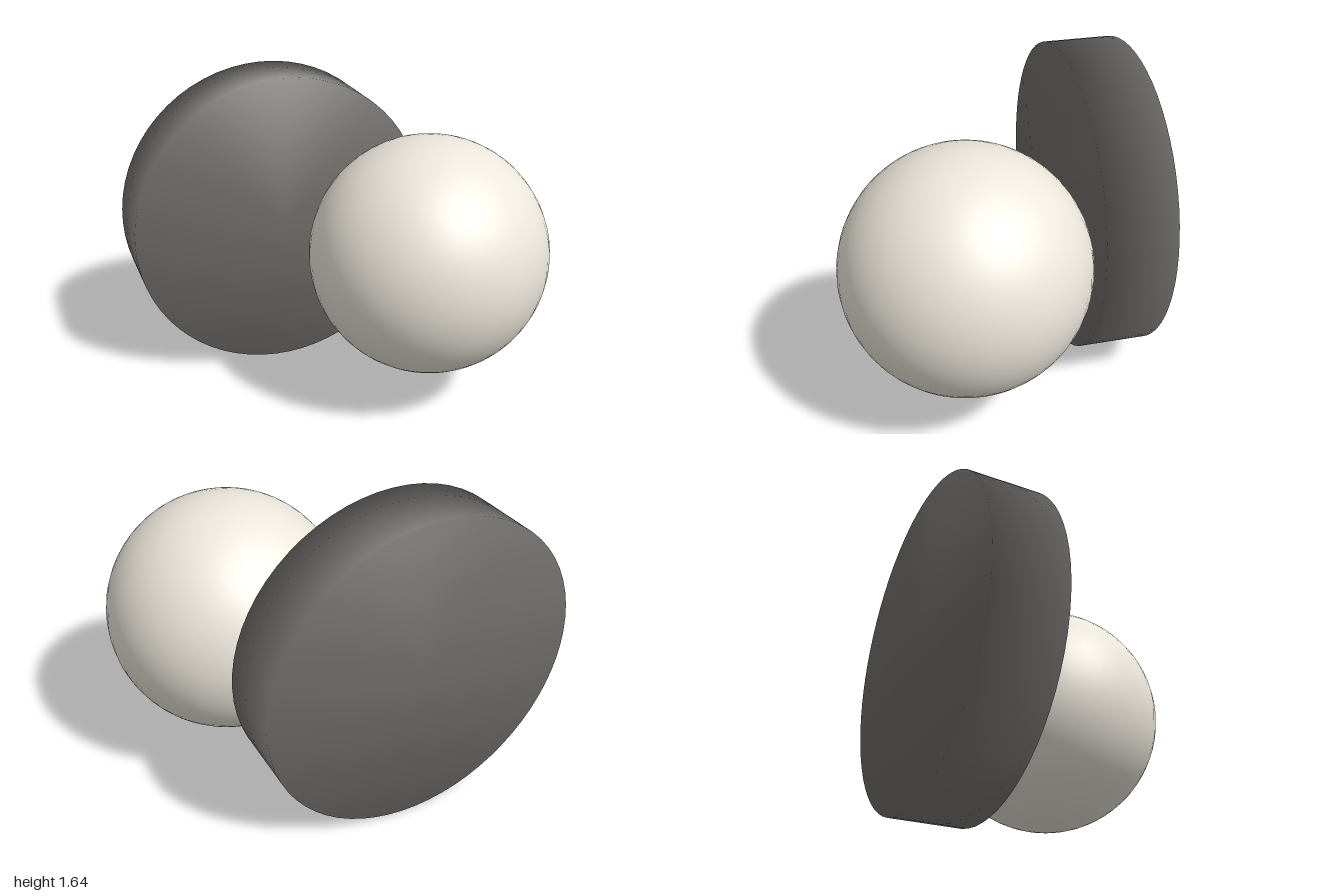
import * as THREE from 'three';

const mat = (color) => new THREE.MeshStandardMaterial({ color });

// Closed round drum lying along z, with normals blended over its rims
function drum(name, radius, z0, z1, x, y, color) {
  const profile = [[0, z0], [radius, z0], [radius, z1], [0, z1]]
    .map(([r, h]) => new THREE.Vector2(r, h));
  const geometry = new THREE.LatheGeometry(profile, 64);
  geometry.rotateX(Math.PI / 2);
  const mesh = new THREE.Mesh(geometry, mat(color));
  mesh.name = name;
  mesh.position.set(x, y, 0);
  return mesh;
}

export function createModel() {
  const lamp = new THREE.Group();
  lamp.name = 'wallLamp';

  // Thick dark disc against the wall
  lamp.add(drum('backDisc', 0.82, -0.795, -0.437, -0.18, 0.82, 0x6e6c69));

  // Short brass stem joining the disc to the globe
  lamp.add(drum('stem', 0.123, -0.437, -0.3, 0.232, 0.823, 0xb8864a));

  // Pale round globe, off to one side
  const globe = new THREE.Mesh(new THREE.SphereGeometry(0.613, 48, 32), mat(0xece7dc));
  globe.name = 'globe';
  globe.position.set(0.385, 0.823, 0.182);
  lamp.add(globe);

  return lamp;
}
